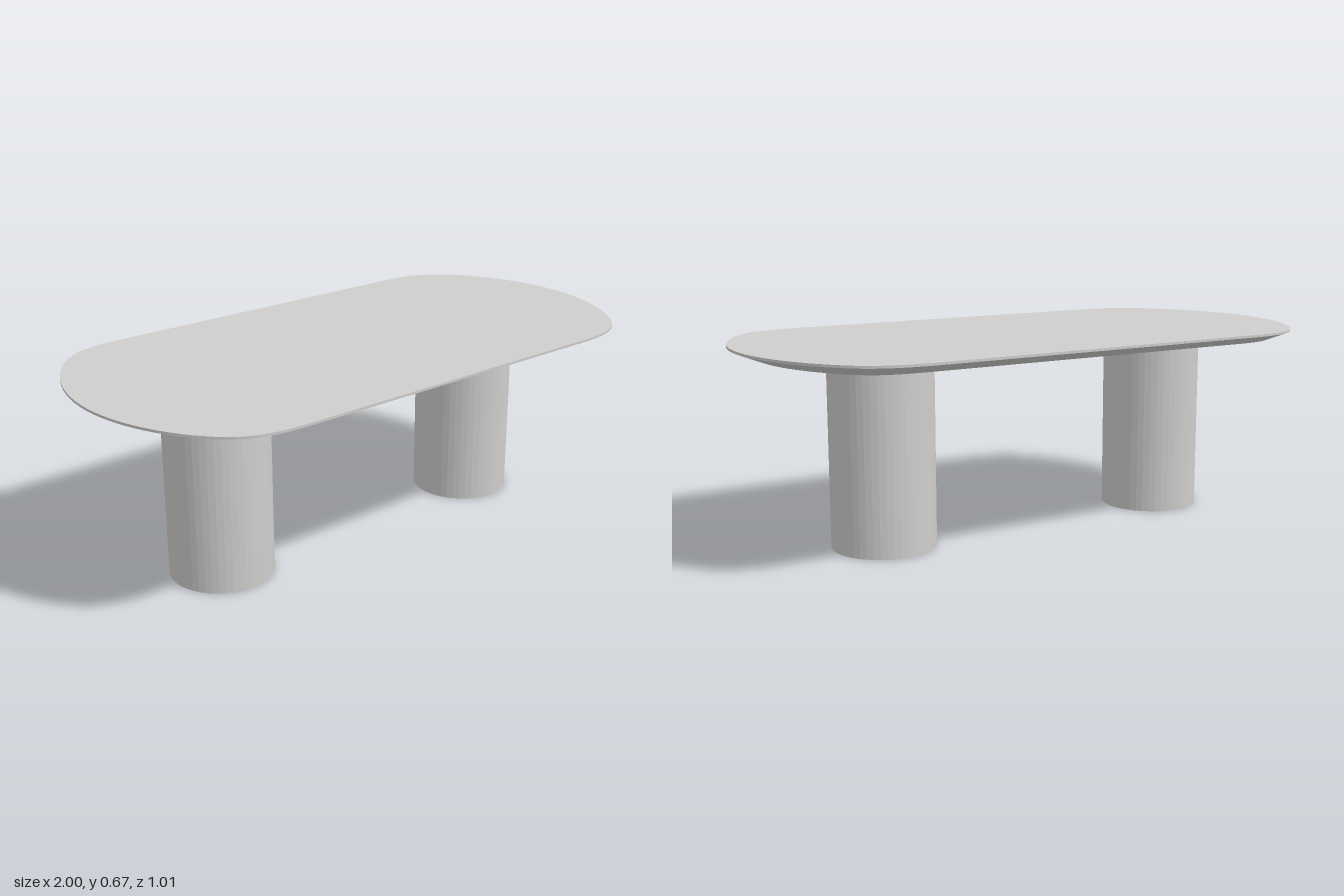
import * as THREE from 'three';
import { mergeGeometries } from 'three/addons/utils/BufferGeometryUtils.js';

const LEG_H = 0.63, RIM_Y = 0.66, TOP_Y = 0.668, BEVEL = 0.077;

// One quarter of the tabletop outline (from the end tip to the long side)
function quarterOutline() {
  const v = (x, z) => new THREE.Vector2(x, z);
  const end = new THREE.CubicBezierCurve(v(1, 0), v(1, 0.17), v(0.93, 0.32), v(0.85, 0.41));
  const corner = new THREE.CubicBezierCurve(v(0.85, 0.41), v(0.79, 0.48), v(0.72, 0.506), v(0.58, 0.506));
  return [...end.getPoints(14), ...corner.getPoints(14).slice(1)];
}

// Full closed outline, mirrored in x and z
function fullOutline() {
  const q = quarterOutline();
  const half = [...q, ...q.slice().reverse().map(p => new THREE.Vector2(-p.x, p.y))];
  return [...half, ...half.slice(1, -1).reverse().map(p => new THREE.Vector2(p.x, -p.y))];
}

// Move the outline inward along its normals
function inset(points, d) {
  const n = points.length;
  return points.map((p, i) => {
    const t = points[(i + 1) % n].clone().sub(points[(i + n - 1) % n]).normalize();
    return new THREE.Vector2(p.x - t.y * d, p.y + t.x * d);
  });
}

// Side wall between two matching outlines
function band(low, yLow, high, yHigh) {
  const n = low.length, pos = [], uv = [], idx = [];
  for (let i = 0; i < n; i++) {
    pos.push(low[i].x, yLow, low[i].y, high[i].x, yHigh, high[i].y);
    uv.push(i / n, 0, i / n, 1);
    const a = 2 * i, b = 2 * ((i + 1) % n);
    idx.push(a, a + 1, b, b, a + 1, b + 1);
  }
  const g = new THREE.BufferGeometry();
  g.setAttribute('position', new THREE.Float32BufferAttribute(pos, 3));
  g.setAttribute('uv', new THREE.Float32BufferAttribute(uv, 2));
  g.setIndex(idx);
  g.computeVertexNormals();
  return g;
}

// Flat cap facing up or down
function cap(points, y, up) {
  const g = new THREE.ShapeGeometry(new THREE.Shape(points));
  g.rotateX(up ? -Math.PI / 2 : Math.PI / 2);
  g.translate(0, y, 0);
  return g;
}

export function createModel() {
  const group = new THREE.Group();
  group.name = 'table';
  const stone = new THREE.MeshStandardMaterial({ color: 0xcfcecc });
  stone.name = 'paleGrey';
  const legStone = stone.clone();
  legStone.name = 'paleGreyFaceted';
  legStone.flatShading = true;

  // Tabletop: thin rim above a wide undercut bevel
  const rim = fullOutline(), under = inset(rim, BEVEL);
  const top = new THREE.Mesh(mergeGeometries([
    cap(under, LEG_H, false),
    band(under, LEG_H, rim, RIM_Y),
    band(rim, RIM_Y, rim, TOP_Y),
    cap(rim, TOP_Y, true),
  ]), stone);
  top.name = 'tabletop';
  group.add(top);

  // Two faceted column legs
  const legGeo = new THREE.CylinderGeometry(0.172, 0.172, LEG_H, 48);
  for (const [name, x] of [['leftLeg', 0.533], ['rightLeg', -0.56]]) {
    const leg = new THREE.Mesh(legGeo, legStone);
    leg.name = name;
    leg.position.set(x, LEG_H / 2, 0);
    group.add(leg);
  }
  return group;
}
